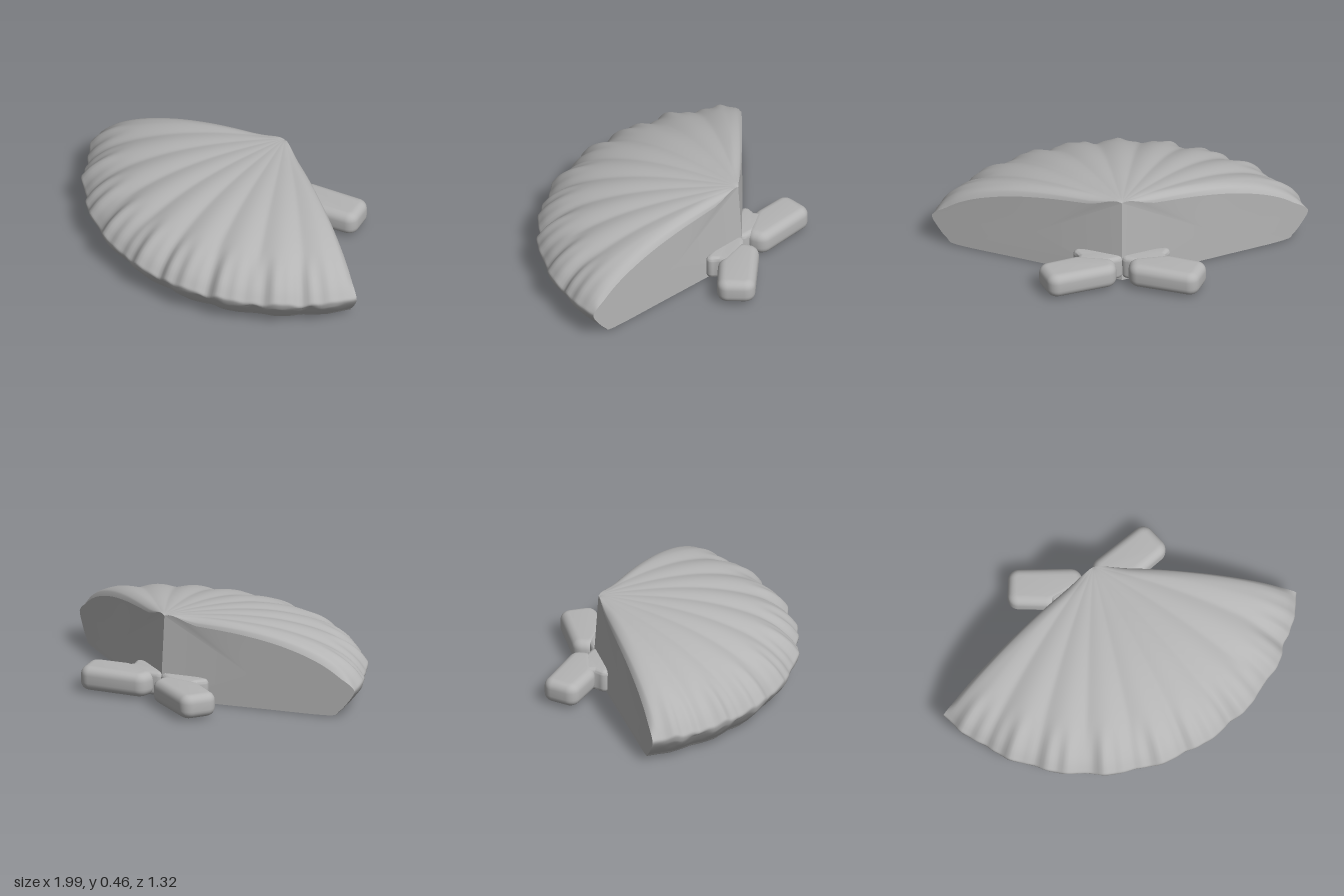
import * as THREE from 'three';
import { toCreasedNormals } from 'three/addons/utils/BufferGeometryUtils.js';

const HINGE_Z = -0.44, SPREAD = 1.157, RADIUS = 1.09, RIBS = 9;
const { smoothstep } = THREE.MathUtils;

// Half section of the shell as (radius, height): over the top, round the rim, back underneath
const SECTION = [
  [0, 0.452], [0.05, 0.461], [0.24, 0.456], [0.44, 0.442], [0.64, 0.411], [0.82, 0.36],
  [0.95, 0.3], [1.03, 0.238], [1.075, 0.182], [1.087, 0.148], [1.05, 0.09], [1.0, 0.035],
  [0.94, 0.008], [0.6, 0.004], [0.3, 0.002], [0, 0],
];
const STEPS = 4, RIM_INDEX = 9 * STEPS;

function sectionPoints() {
  const curve = new THREE.SplineCurve(SECTION.map(([r, y]) => new THREE.Vector2(r, y)));
  const pts = curve.getPoints((SECTION.length - 1) * STEPS);
  pts.forEach((p) => { p.x = Math.max(0, p.x); p.y = Math.max(0, p.y); });
  return pts;
}

// Position on the ribbed shell; t runs from -1 to 1 across the fan
function shellPoint(t, p, top) {
  const a = t * SPREAD;
  const edgeFade = Math.min(1, (1 - Math.abs(t)) * 9);
  const wave = Math.cos(t * RIBS * Math.PI / 2);
  const rib = (Math.sqrt(wave * wave + 0.02) - 0.65) * edgeFade;
  const w = p.x / RADIUS;
  const rim = smoothstep(p.x, 0.85, 1.08);
  const crinkle = (Math.sin(a * 41 + 1) + Math.sin(a * 67 + 2.3)) * rim * edgeFade;
  const r = p.x + rib * 0.022 * w * w * w + crinkle * 0.003;
  let y = p.y + crinkle * 0.006 * Math.min(1, p.y / 0.1);
  if (top) {
    // Ribs, and a soft shoulder along the straight back edges
    const edge = Math.max(0, 1 - p.x * Math.sin(SPREAD - Math.abs(a)) / 0.06);
    const shoulder = 1 - Math.sqrt(1 - edge * edge);
    y += rib * 0.026 * Math.sqrt(w) * w;
    y -= shoulder * 0.04 * smoothstep(p.x, 0.02, 0.2) * smoothstep(p.y, 0.15, 0.28);
  } else {
    // Shallow hollow in the underside
    y += 0.03 * (1 - t * t) * smoothstep(p.x, 0, 0.35) * (1 - smoothstep(p.x, 0.35, 0.9));
  }
  const lean = 0.065 * p.y * (1 - w) ** 4;
  return [r * Math.sin(a), Math.max(0, y), HINGE_Z + lean + r * Math.cos(a)];
}

function buildGeometry(pos, idx) {
  const g = new THREE.BufferGeometry();
  g.setAttribute('position', new THREE.Float32BufferAttribute(pos, 3));
  g.setIndex(idx);
  g.computeVertexNormals();
  return g;
}

// Fan-shaped outer surface, top and underside in one sweep
function shellGeometry() {
  const sec = sectionPoints(), m = sec.length, n = RIBS * 16;
  const pos = [], idx = [];
  for (let i = 0; i <= n; i++) {
    sec.forEach((p, j) => pos.push(...shellPoint(i / n * 2 - 1, p, j <= RIM_INDEX)));
  }
  for (let i = 0; i < n; i++) {
    for (let j = 0; j < m - 1; j++) {
      const a = i * m + j;
      idx.push(a, a + 1, a + m, a + 1, a + m + 1, a + m);
    }
  }
  return buildGeometry(pos, idx);
}

// Flat wall closing the fan on one straight side
function wallGeometry(side) {
  const sec = sectionPoints();
  const pos = [...shellPoint(side, new THREE.Vector2(0.5, 0.2), true)], idx = [];
  sec.forEach((p, j) => pos.push(...shellPoint(side, p, j <= RIM_INDEX)));
  for (let j = 1; j <= sec.length; j++) {
    const next = j === sec.length ? 1 : j + 1;
    if (side > 0) idx.push(0, j, next);
    else idx.push(0, next, j);
  }
  return buildGeometry(pos, idx);
}

// Outline in x and z with rounded corners
function roundedOutline(points, radius) {
  const v = points.map(([x, z]) => new THREE.Vector2(x, z));
  const shape = new THREE.Shape();
  v.forEach((c, i) => {
    const prev = v[(i + v.length - 1) % v.length], next = v[(i + 1) % v.length];
    const a = c.clone().add(prev.clone().sub(c).setLength(radius));
    const b = c.clone().add(next.clone().sub(c).setLength(radius));
    if (i === 0) shape.moveTo(a.x, a.y);
    else shape.lineTo(a.x, a.y);
    shape.quadraticCurveTo(c.x, c.y, b.x, b.y);
  });
  shape.closePath();
  return shape;
}

// Pillow-like slab lying flat between two heights
function slabGeometry(points, radius, bevel, bottom, top) {
  const g = new THREE.ExtrudeGeometry(roundedOutline(points, radius), {
    depth: top - bottom - 2 * bevel, bevelEnabled: true, bevelSize: bevel,
    bevelThickness: bevel, bevelSegments: 6, curveSegments: 6,
  });
  g.rotateX(Math.PI / 2);
  g.translate(0, top - bevel, 0);
  return toCreasedNormals(g, 0.9);
}

export function createModel() {
  const model = new THREE.Group();
  model.name = 'scallopShell';
  const grey = new THREE.MeshStandardMaterial({ color: 0xb4b4b4 });
  grey.name = 'shell grey';

  const add = (name, geometry) => {
    const mesh = new THREE.Mesh(geometry, grey);
    mesh.name = name;
    model.add(mesh);
  };

  add('ribbedShell', shellGeometry());

  for (const [side, label] of [[1, 'left'], [-1, 'right']]) {
    const mirror = (pts) => pts.map(([x, z]) => [x * side, z]);
    add(label + 'BackWall', wallGeometry(side));
    // Hinge ear and the neck joining it to the shell
    add(label + 'HingeEar', slabGeometry(mirror([
      [0.078, -0.515], [0.358, -0.613], [0.4, -0.508], [0.24, -0.445], [0.078, -0.47],
    ]), 0.014, 0.045, 0.012, 0.142));
    add(label + 'HingeNeck', slabGeometry(mirror([
      [0.02, -0.425], [0.08, -0.45], [0.22, -0.45], [0.205, -0.4], [0.235, -0.35], [0.02, -0.38],
    ]), 0.012, 0.025, 0.01, 0.14));
  }
  return model;
}
